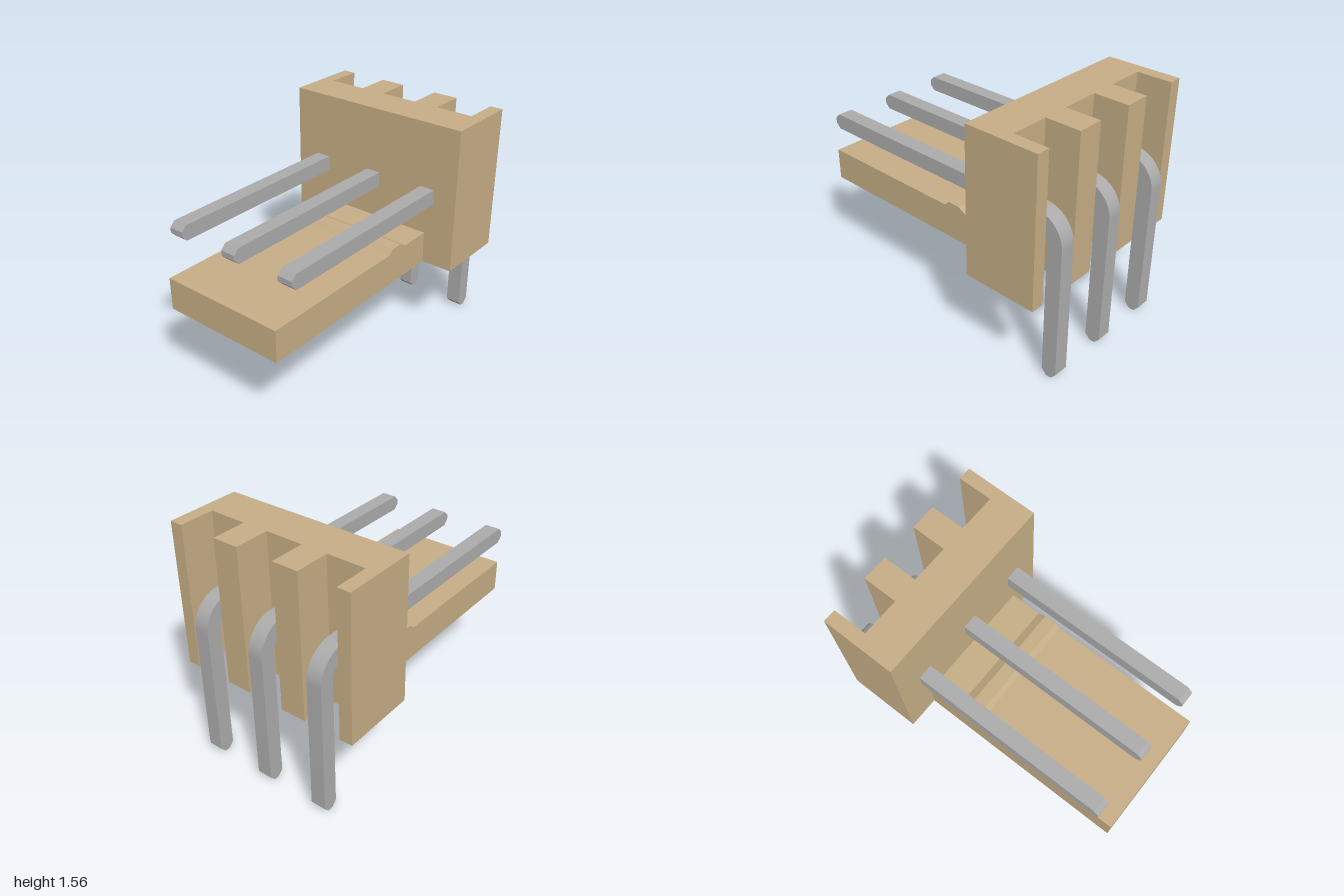
import * as THREE from 'three';
import { toCreasedNormals } from 'three/addons/utils/BufferGeometryUtils.js';

const plastic = new THREE.MeshStandardMaterial({ name: 'tan plastic', color: 0xc4ac84 });
const metal = new THREE.MeshStandardMaterial({ name: 'grey metal', color: 0xaaaaaa });

// Extrude a side profile drawn as (z, y) across x, centred on x = 0
function extrudeAcross(shape, width) {
  const g = new THREE.ExtrudeGeometry(shape, { depth: width, bevelEnabled: false, curveSegments: 10 });
  g.translate(0, 0, -width / 2);
  g.rotateY(-Math.PI / 2);
  return g;
}

function part(name, geometry, material) {
  const mesh = new THREE.Mesh(geometry, material);
  mesh.name = name;
  return mesh;
}

const pitch = 0.43;
const pinPositions = [-pitch, 0, pitch];

// Upright housing: a comb-shaped plan with one open slot behind each pin
function housingGeometry() {
  const bottom = 0.58, top = 1.56, half = 0.645, front = -0.443, back = -0.945, slot = -0.71, slotHalf = 0.128;
  const s = new THREE.Shape();
  s.moveTo(-half, -front);
  s.lineTo(half, -front);
  s.lineTo(half, -back);
  for (const x of [...pinPositions].reverse()) {
    s.lineTo(x + slotHalf, -back);
    s.lineTo(x + slotHalf, -slot);
    s.lineTo(x - slotHalf, -slot);
    s.lineTo(x - slotHalf, -back);
  }
  s.lineTo(-half, -back);
  s.closePath();
  const g = new THREE.ExtrudeGeometry(s, { depth: top - bottom, bevelEnabled: false });
  g.rotateX(-Math.PI / 2);
  g.translate(0, bottom, 0);
  return g;
}

// Flat tongue with a low locking ridge
function tongueGeometry() {
  const profile = [
    [1, 0.58], [1, 0.797], [-0.05, 0.797], [-0.083, 0.828],
    [-0.17, 0.828], [-0.226, 0.797], [-0.443, 0.797], [-0.443, 0.58],
  ];
  return extrudeAcross(new THREE.Shape(profile.map(([z, y]) => new THREE.Vector2(z, y))), 0.86);
}

// Square pin with a right-angle bend and chamfered tips
function pinGeometry() {
  const tip = 0.913, low = 1.02, high = 1.122, back = -1, inner = -0.898, c = 0.034;
  const rOut = 0.2, rIn = rOut - (high - low);
  const cz = back + rOut, cy = high - rOut;
  const s = new THREE.Shape();
  s.moveTo(tip - c, low);
  s.lineTo(tip, low + c);
  s.lineTo(tip, high - c);
  s.lineTo(tip - c, high);
  s.lineTo(cz, high);
  s.absarc(cz, cy, rOut, Math.PI / 2, Math.PI, false);
  s.lineTo(back, 0.037);
  s.lineTo(back + c, 0);
  s.lineTo(inner - c, 0);
  s.lineTo(inner, 0.037);
  s.lineTo(inner, cy);
  s.absarc(cz, cy, rIn, Math.PI, Math.PI / 2, true);
  s.closePath();
  return toCreasedNormals(extrudeAcross(s, 0.102), 0.5);
}

export function createModel() {
  const model = new THREE.Group();
  model.name = 'rightAnglePinHeader';
  model.add(part('housing', housingGeometry(), plastic));
  model.add(part('tongue', tongueGeometry(), plastic));

  const pin = pinGeometry();
  const names = ['rightPin', 'middlePin', 'leftPin'];
  pinPositions.forEach((x, i) => {
    const mesh = part(names[i], pin, metal);
    mesh.position.x = x;
    model.add(mesh);
  });
  return model;
}
